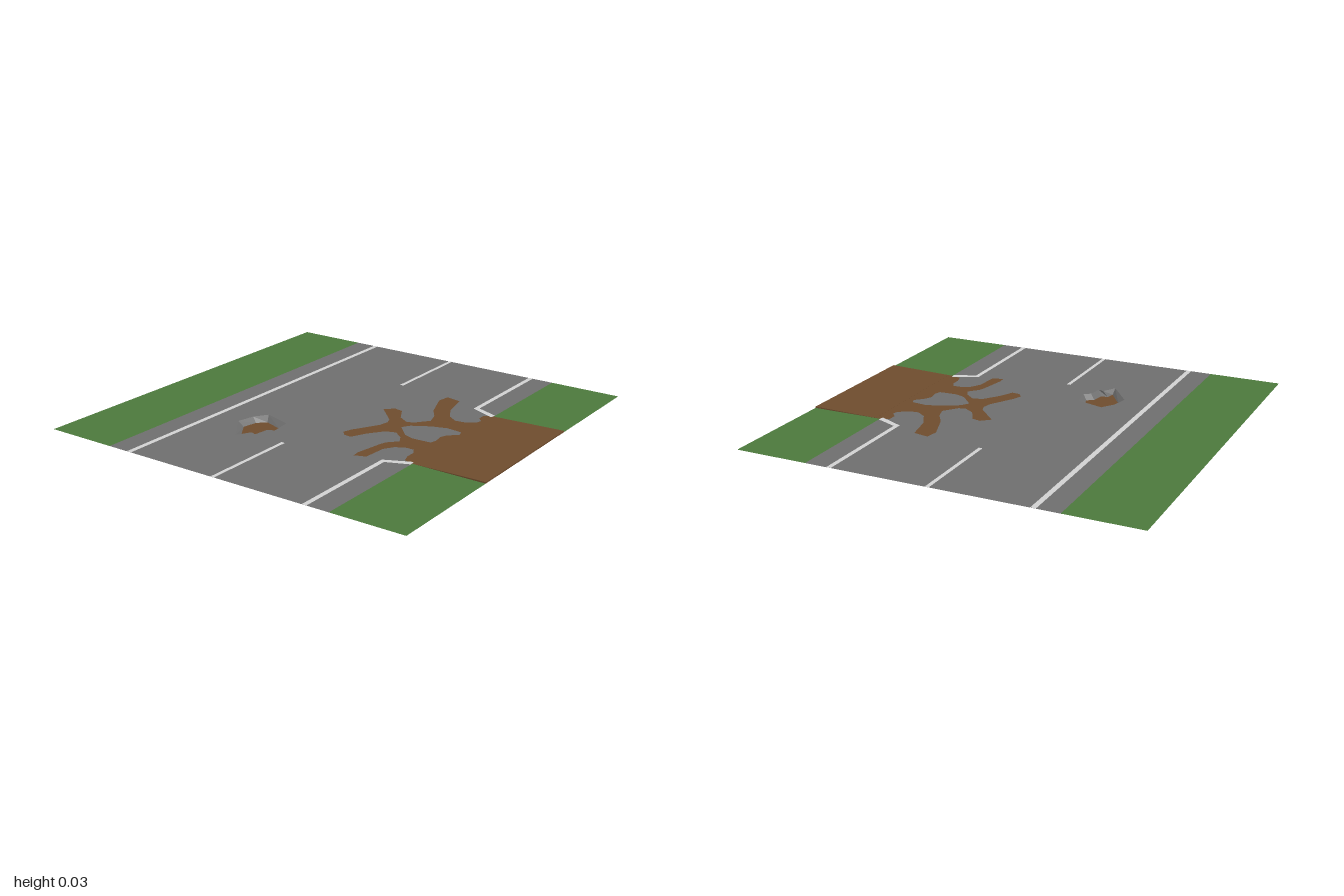
import * as THREE from 'three';

const GROUND = 0.025;
const mat = (name, color) => new THREE.MeshStandardMaterial({ name, color, side: THREE.DoubleSide });

// Outline of the washed-out dirt on the road, listed as [x, z] from left to right
const dirtEdge = [
  [-0.37, 0.625], [-0.355, 0.575], [-0.31, 0.56], [-0.26, 0.56], [-0.225, 0.54], [-0.225, 0.5],
  [-0.25, 0.45], [-0.3, 0.42], [-0.42, 0.41], [-0.44, 0.355], [-0.4, 0.35], [-0.26, 0.375],
  [-0.225, 0.385], [-0.175, 0.43], [-0.13, 0.405], [-0.09, 0.355], [-0.105, 0.305], [-0.18, 0.25],
  [-0.26, 0.21], [-0.255, 0.17], [-0.225, 0.145], [-0.18, 0.16], [-0.05, 0.235], [0, 0.245],
  [0.04, 0.23], [0.1, 0.17], [0.145, 0.125], [0.185, 0.17], [0.175, 0.215], [0.095, 0.26],
  [0.06, 0.315], [0.07, 0.35], [0.14, 0.405], [0.205, 0.385], [0.27, 0.34], [0.415, 0.285],
  [0.48, 0.295], [0.465, 0.375], [0.325, 0.405], [0.245, 0.45], [0.21, 0.5], [0.215, 0.545],
  [0.25, 0.6], [0.28, 0.605], [0.305, 0.58], [0.35, 0.58], [0.37, 0.625],
];
// Bare road between the dirt branches
const island = [
  [-0.015, 0.335], [-0.09, 0.405], [-0.11, 0.46], [-0.105, 0.555], [-0.07, 0.565], [-0.02, 0.555],
  [0.015, 0.57], [0.06, 0.615], [0.09, 0.605], [0.1, 0.525], [0.08, 0.46], [0.055, 0.405], [0.025, 0.36],
];
const holeRim = [
  [-0.555, -0.245], [-0.405, -0.355], [-0.315, -0.335], [-0.25, -0.29], [-0.295, -0.145],
  [-0.4, -0.13], [-0.42, -0.165], [-0.495, -0.175], [-0.485, -0.205],
];
const holeFloor = [
  [-0.52, -0.245], [-0.4, -0.325], [-0.325, -0.31], [-0.285, -0.27], [-0.32, -0.17],
  [-0.38, -0.155], [-0.4, -0.19], [-0.47, -0.2], [-0.475, -0.235],
];

const toPoints = (list) => list.map(([x, z]) => new THREE.Vector2(x, -z));
const rect = (x0, z0, x1, z1) => [[x0, z0], [x1, z0], [x1, z1], [x0, z1]];

export function createModel() {
  const model = new THREE.Group();
  model.name = 'damagedRoad';
  const asphalt = mat('asphalt', 0x6e6e6e);
  const grass = mat('grass', 0x4c783c);
  const dirt = mat('dirt', 0x6e4c2d);
  const paint = mat('roadPaint', 0xd0d0d0);

  const add = (name, geometry, material) => {
    const mesh = new THREE.Mesh(geometry, material);
    mesh.name = name;
    model.add(mesh);
  };
  // Flat horizontal sheet from an [x, z] outline
  const sheet = (name, outline, material, y = GROUND, holes = []) => {
    const shape = new THREE.Shape(toPoints(outline));
    holes.forEach((h) => shape.holes.push(new THREE.Path(toPoints(h))));
    add(name, new THREE.ShapeGeometry(shape).rotateX(-Math.PI / 2).translate(0, y, 0), material);
  };

  // Road, cut out around the dirt and the pothole
  sheet('road', [[-1, 0.625], [-1, -0.625], [1, -0.625], [1, 0.625], ...[...dirtEdge].reverse()],
    asphalt, GROUND, [holeRim]);
  sheet('roadIsland', island, asphalt);

  // Grass verges
  sheet('backVerge', rect(-1, -1, 1, -0.625), grass);
  sheet('rightVerge', rect(-1, 0.625, -0.37, 1), grass);
  sheet('leftVerge', rect(0.37, 0.625, 1, 1), grass);

  // Branching dirt and the low bank rising towards the front edge
  sheet('dirtBranches', [...dirtEdge, [0.37, 0.65], [-0.37, 0.65]], dirt, GROUND, [island]);
  const bank = new THREE.BoxGeometry(0.74, 0.006, 0.35).translate(0, GROUND + 0.003, 0.825);
  const p = bank.attributes.position;
  for (let i = 0; i < p.count; i++) {
    const front = p.getZ(i) > 0.8;
    if (p.getY(i) > GROUND + 0.003) p.setY(i, front ? 0.032 : 0.0255);
    if (front) p.setX(i, Math.sign(p.getX(i)) * 0.375);
  }
  bank.computeVertexNormals();
  add('dirtBank', bank, dirt);

  // Pothole floor and sloping walls
  sheet('potholeFloor', holeFloor, dirt, 0);
  const wall = [];
  holeRim.forEach((a, i) => {
    const j = (i + 1) % holeRim.length;
    const A = [a[0], GROUND, a[1]], B = [holeRim[j][0], GROUND, holeRim[j][1]];
    const C = [holeFloor[j][0], 0, holeFloor[j][1]], D = [holeFloor[i][0], 0, holeFloor[i][1]];
    wall.push(...A, ...D, ...C, ...A, ...C, ...B);
  });
  const walls = new THREE.BufferGeometry();
  walls.setAttribute('position', new THREE.Float32BufferAttribute(wall, 3));
  walls.computeVertexNormals();
  add('potholeWalls', walls, asphalt);

  // Painted lines
  const top = GROUND + 0.0008;
  sheet('backEdgeLine', rect(-1, -0.514, 1, -0.488), paint, top);
  for (const s of [-1, 1]) {
    const side = s < 0 ? 'right' : 'left';
    sheet(side + 'CentreLine', rect(s, -0.01, s * 0.503, 0.01), paint, top);
    sheet(side + 'EdgeLine', [[1, 0.488], [0.41, 0.488], [0.35, 0.62], [0.382, 0.625], [0.428, 0.512], [1, 0.512]]
      .map(([x, z]) => [s * x, z]), paint, top);
  }
  return model;
}
